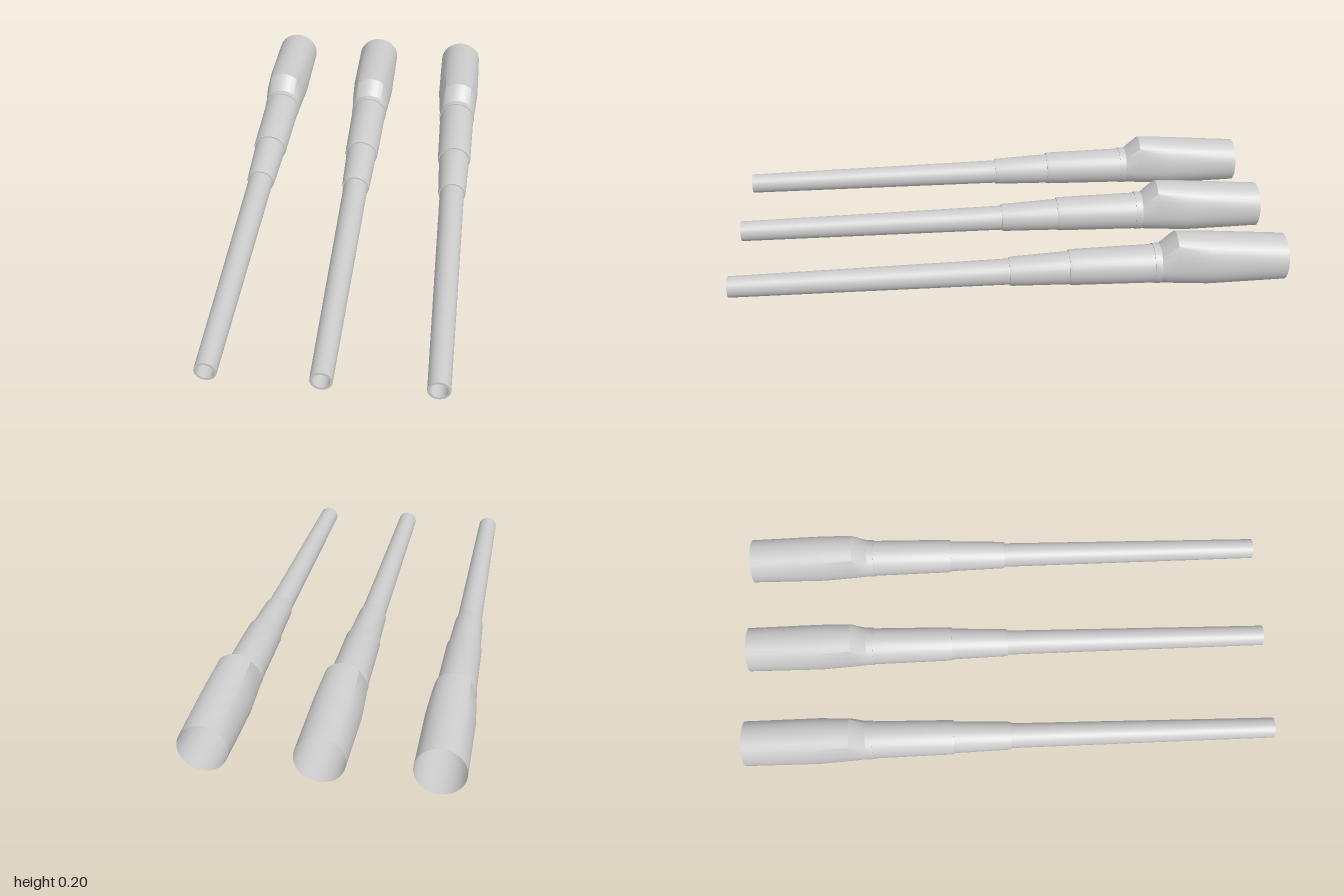
import * as THREE from 'three';
import { toCreasedNormals } from 'three/addons/utils/BufferGeometryUtils.js';

const SIDES = 32;

// Loft round sections along z. Each station: [z, centreY, radius, lift of the crown]
function loft(stations) {
  const pos = [], index = [];
  for (const [z, cy, r, lift = 0] of stations) {
    for (let j = 0; j < SIDES; j++) {
      const a = (j / SIDES) * Math.PI * 2;
      const s = Math.sin(a);
      // the crown rises whole, the flanks stretch up to meet it
      const rise = lift * Math.min(1, Math.max(0, s / Math.SQRT1_2));
      pos.push(r * Math.cos(a), cy + r * s + rise, z);
    }
  }
  for (let i = 0; i < stations.length - 1; i++) {
    for (let j = 0; j < SIDES; j++) {
      const k = (j + 1) % SIDES;
      const a = i * SIDES + j, b = i * SIDES + k;
      const d = a + SIDES, c = b + SIDES;
      index.push(a, d, b, b, d, c);
    }
  }
  const g = new THREE.BufferGeometry();
  g.setAttribute('position', new THREE.Float32BufferAttribute(pos, 3));
  g.setIndex(index);
  // crease at a larger scale, since vertices are matched on a coarse grid
  g.scale(100, 100, 100);
  const creased = toCreasedNormals(g, 0.45);
  creased.scale(0.01, 0.01, 0.01);
  return creased;
}

export function createModel() {
  const group = new THREE.Group();
  const material = new THREE.MeshStandardMaterial({ color: 0xcccccc, side: THREE.DoubleSide });

  const parts = {
    // closed bore, muzzle rim and slender tapering tube
    barrelTube: loft([
      [0, 0.075, 0.0005], [0, 0.075, 0.03], [1, 0.058, 0.03],
      [1, 0.058, 0.038], [0, 0.074, 0.047],
    ]),
    // stepped sleeves, each with a front shoulder
    frontSleeve: loft([
      [0, 0.074, 0.045], [0, 0.075, 0.051], [-0.01, 0.075, 0.053], [-0.215, 0.08, 0.06],
    ]),
    rearSleeve: loft([
      [-0.215, 0.08, 0.058], [-0.215, 0.082, 0.063], [-0.225, 0.082, 0.065], [-0.52, 0.084, 0.07],
    ]),
    collar: loft([
      [-0.52, 0.084, 0.068], [-0.52, 0.0845, 0.073], [-0.545, 0.085, 0.073],
    ]),
    // raised hood with a slanted front, open at the rear
    hood: loft([
      [-0.545, 0.085, 0.072], [-0.6, 0.087, 0.077, 0.043],
      [-0.72, 0.087, 0.084, 0.028], [-1, 0.094, 0.084],
    ]),
  };

  // three identical barrels side by side
  ['rightBarrel', 'middleBarrel', 'leftBarrel'].forEach((name, i) => {
    const barrel = new THREE.Group();
    barrel.name = name;
    barrel.position.x = (i - 1) * 0.375;
    for (const [part, geometry] of Object.entries(parts)) {
      const mesh = new THREE.Mesh(geometry, material);
      mesh.name = part;
      barrel.add(mesh);
    }
    group.add(barrel);
  });
  return group;
}
